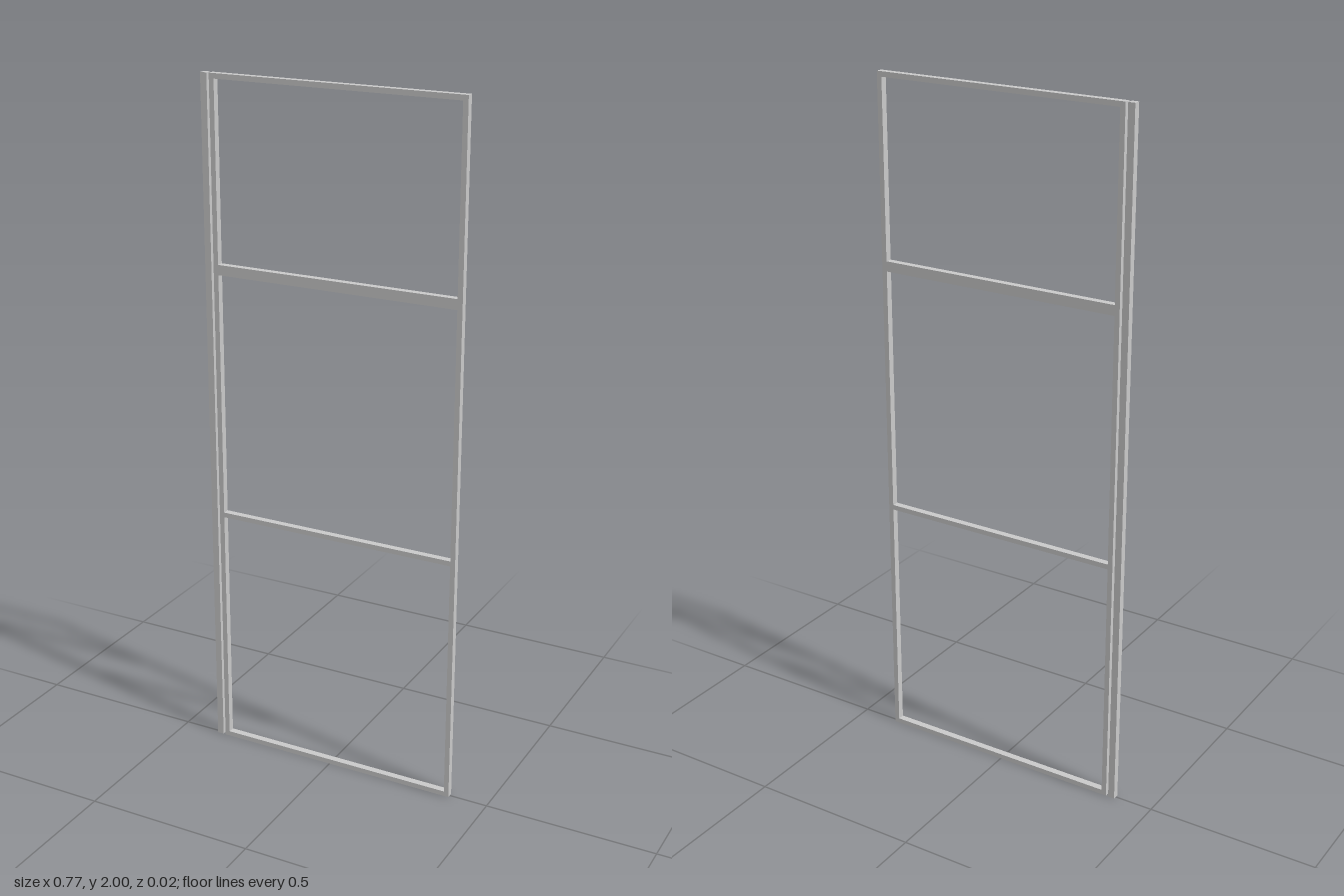
import * as THREE from 'three';

export function createModel() {
  const group = new THREE.Group();
  const material = new THREE.MeshStandardMaterial({ color: 0xcccccc });
  const depth = 0.0196, bar = 0.0146;
  const left = -0.359, right = 0.3857, height = 2;

  // Square-edged bar given by its extents
  function addBar(name, x0, x1, y0, y1) {
    const mesh = new THREE.Mesh(new THREE.BoxGeometry(x1 - x0, y1 - y0, depth), material);
    mesh.name = name;
    mesh.position.set((x0 + x1) / 2, (y0 + y1) / 2, 0);
    group.add(mesh);
  }

  // Free-standing square jamb post beside the frame
  addBar('jambPost', -right, -right + depth, 0, height);

  // Upright stiles
  addBar('rightStile', left, left + bar, 0, height);
  addBar('leftStile', right - bar, right, 0, height);

  // Horizontal rails between the stiles, the upper middle one twice as wide
  const rails = [
    ['bottomRail', 0, bar],
    ['lowerRail', 0.727, 0.727 + bar],
    ['upperRail', 1.4515, 1.4515 + 2 * bar],
    ['topRail', height - bar, height],
  ];
  for (const [name, y0, y1] of rails) addBar(name, left + bar, right - bar, y0, y1);

  return group;
}
